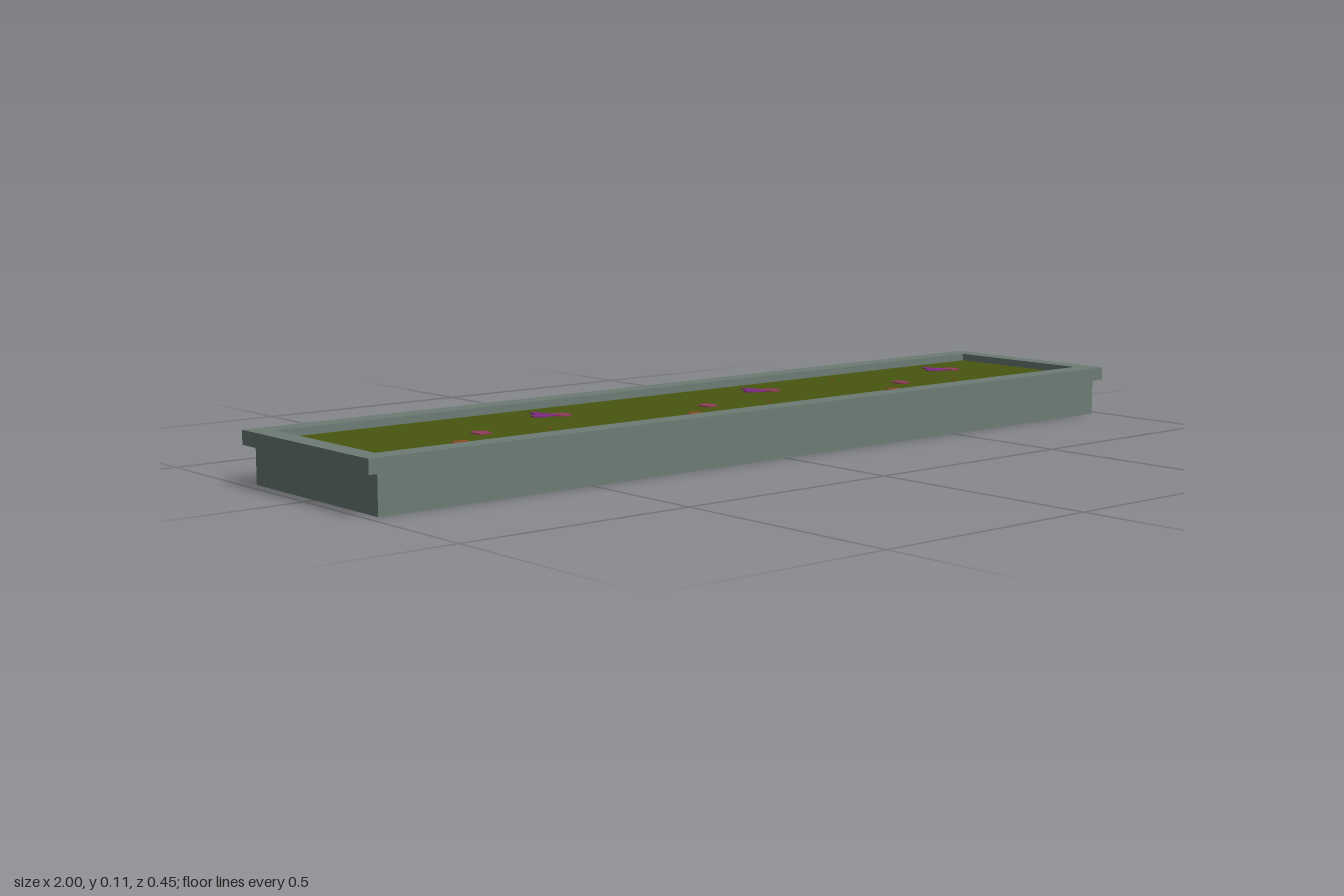
import * as THREE from 'three';

const stone = new THREE.MeshStandardMaterial({ color: 0x6d7c75 });
stone.name = 'grey green stone';
const moss = new THREE.MeshStandardMaterial({ color: 0x48560f, side: THREE.DoubleSide });
moss.name = 'moss green';
const purple = new THREE.MeshStandardMaterial({ color: 0x7d2a80 });
purple.name = 'purple petals';
const pink = new THREE.MeshStandardMaterial({ color: 0x8f3a5a });
pink.name = 'pink petals';
const orange = new THREE.MeshStandardMaterial({ color: 0x8a4a1e });
orange.name = 'orange petals';

const SOIL_Y = 0.092;

// Extrudes a shape drawn in (x, -z) upward from y
function slab(shape, y, height) {
  const g = new THREE.ExtrudeGeometry(shape, { depth: height, bevelEnabled: false });
  g.rotateX(-Math.PI / 2);
  g.translate(0, y, 0);
  return g;
}

function rect(Target, hx, hz) {
  const s = new Target();
  s.moveTo(-hx, -hz).lineTo(hx, -hz).lineTo(hx, hz).lineTo(-hx, hz).closePath();
  return s;
}

// Rectangular frame, open in the middle
function frame(name, outer, inner, y0, y1) {
  const s = rect(THREE.Shape, ...outer);
  s.holes.push(rect(THREE.Path, ...inner));
  const m = new THREE.Mesh(slab(s, y0, y1 - y0), stone);
  m.name = name;
  return m;
}

// Thin blossom plate set through the soil so that it shows on both sides
function blossom(name, points, material, x, z) {
  const s = new THREE.Shape(points.map(([px, pz]) => new THREE.Vector2(px, -pz)));
  const m = new THREE.Mesh(slab(s, -0.002, 0.004), material);
  m.name = name;
  m.position.set(x, SOIL_Y, z);
  return m;
}

const purpleOutline = [[0.0, -0.04], [0.015, -0.036], [0.017, -0.015], [0.027, 0.01], [0.025, 0.022],
  [0.012, 0.031], [0.0, 0.024], [-0.014, 0.026], [-0.028, 0.012], [-0.026, -0.002], [-0.008, -0.012]];
const roundOutline = [[-0.004, -0.023], [0.012, -0.02], [0.018, -0.004], [0.014, 0.014], [0.002, 0.022],
  [-0.014, 0.018], [-0.018, 0.0], [-0.014, -0.016]];
const orangeOutline = [[-0.014, -0.016], [0.008, -0.02], [0.018, -0.008], [0.012, 0.004], [0.01, 0.02],
  [-0.003, 0.016], [-0.008, 0.004], [-0.018, -0.004]];
const speckOutline = [[0, -0.006], [0.004, 0], [0, 0.006], [-0.004, 0]];

export function createModel() {
  const group = new THREE.Group();
  group.name = 'planter';

  // Thin walls, open below, under an overhanging rim
  group.add(frame('walls', [0.977, 0.215], [0.973, 0.211], 0, 0.079));
  group.add(frame('rim', [1, 0.224], [0.956, 0.176], 0.079, 0.108));

  // Planting surface
  const soilGeo = new THREE.PlaneGeometry(1.912, 0.352);
  soilGeo.rotateX(-Math.PI / 2);
  const soil = new THREE.Mesh(soilGeo, moss);
  soil.name = 'mossBed';
  soil.position.y = SOIL_Y;
  group.add(soil);

  // Blossoms repeat along the bed
  const step = 0.578;
  const rows = [
    ['purpleBlossom', purpleOutline, purple, -0.393, -0.092, 3],
    ['pinkBlossomBack', roundOutline, pink, -0.936, -0.068, 4],
    ['pinkBlossomFront', roundOutline, pink, -0.622, 0.024, 3],
    ['orangeBlossom', orangeOutline, orange, -0.716, 0.098, 3],
    ['orangeSpeck', speckOutline, orange, -0.486, 0.062, 3],
  ];
  for (const [name, outline, material, x, z, count] of rows) {
    for (let i = 0; i < count; i++) {
      group.add(blossom(name + (i + 1), outline, material, x + i * step, z));
    }
  }
  group.add(blossom('loneSpeck', speckOutline, orange, 0.44, -0.105));

  return group;
}
